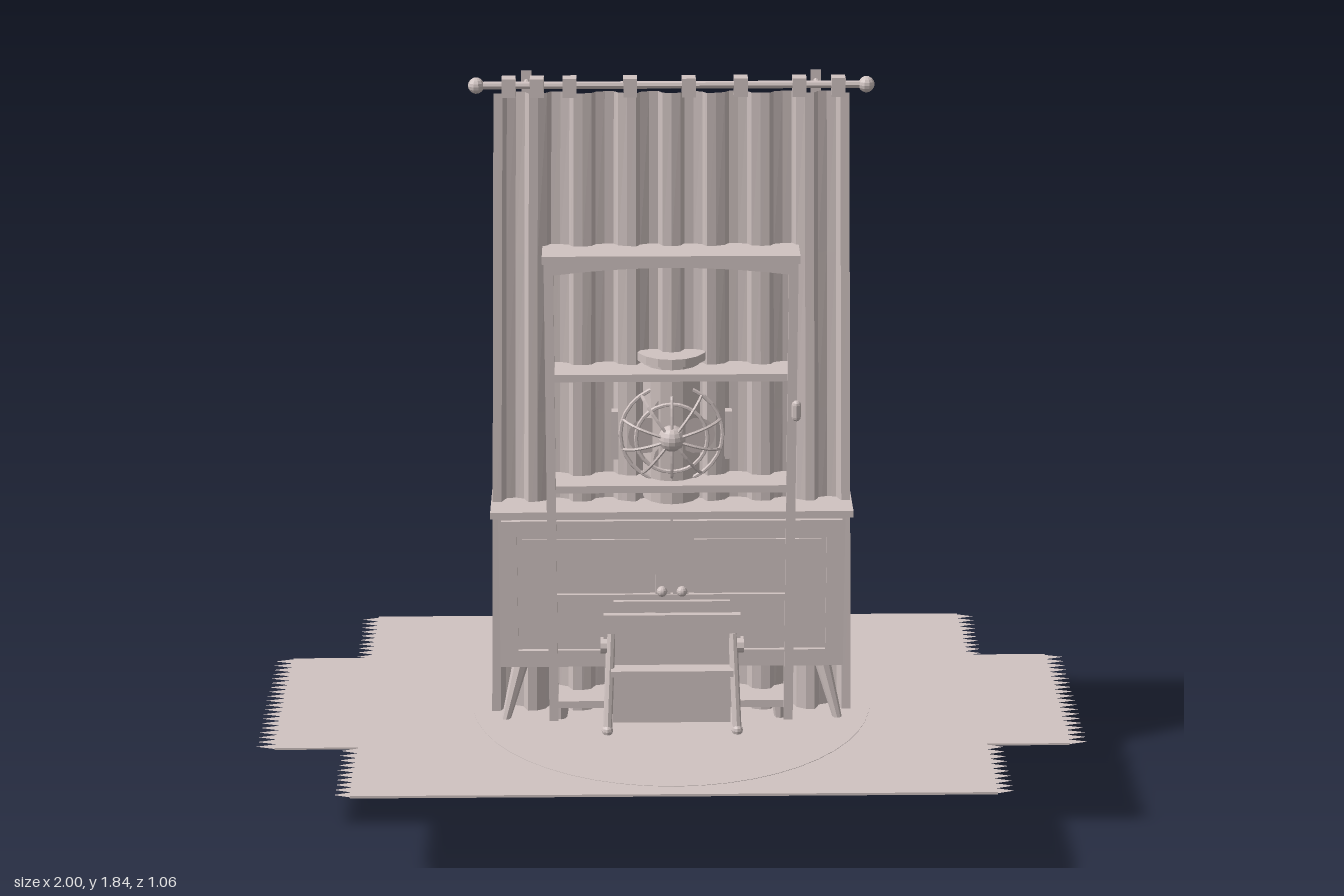
import * as THREE from 'three';

export function createModel() {
  const root = new THREE.Group();
  const clay = new THREE.MeshStandardMaterial({ color: 0xd0c3c1, flatShading: true, side: THREE.DoubleSide });
  clay.name = 'pale clay';
  const F = 0.24; // floor level

  const group = (name) => { const g = new THREE.Group(); g.name = name; root.add(g); return g; };
  const add = (g, name, geo, x = 0, y = 0, z = 0) => {
    const m = new THREE.Mesh(geo, clay);
    m.name = name;
    m.position.set(x, y, z);
    g.add(m);
    return m;
  };
  // Box given by its limits on each axis
  const box = (g, name, x0, x1, y0, y1, z0, z1) => add(g, name,
    new THREE.BoxGeometry(x1 - x0, y1 - y0, z1 - z0), (x0 + x1) / 2, (y0 + y1) / 2, (z0 + z1) / 2);
  // Tapered round bar between two points
  const bar = (g, name, a, b, r0, r1 = r0, sides = 8) => {
    const p = new THREE.Vector3(...a), q = new THREE.Vector3(...b), d = q.clone().sub(p);
    const m = add(g, name, new THREE.CylinderGeometry(r1, r0, d.length(), sides));
    m.position.copy(p).add(q).multiplyScalar(0.5);
    m.quaternion.setFromUnitVectors(new THREE.Vector3(0, 1, 0), d.normalize());
  };
  // Flat rectangular frame in the xy plane
  const frame = (g, name, x0, x1, y0, y1, w, z0, z1) => {
    box(g, name, x0, x1, y0, y0 + w, z0, z1);
    box(g, name, x0, x1, y1 - w, y1, z0, z1);
    box(g, name, x0, x0 + w, y0 + w, y1 - w, z0, z1);
    box(g, name, x1 - w, x1, y0 + w, y1 - w, z0, z1);
  };

  // Crossed rugs with pointed fringes, and a round rug on top
  const rugs = group('rugs');
  const fringe = (xe, za, zb, tip, n) => {
    for (const s of [-1, 1]) {
      const shape = new THREE.Shape();
      shape.moveTo(s * xe, za);
      const step = (zb - za) / n;
      for (let i = 0; i < n; i++) {
        shape.lineTo(s * tip, za + (i + 0.5) * step);
        shape.lineTo(s * xe, za + (i + 1) * step);
      }
      add(rugs, 'fringe', new THREE.ShapeGeometry(shape).rotateX(-Math.PI / 2), 0, F, 0);
    }
  };
  box(rugs, 'wideRug', -0.755, 0.755, F - 0.003, F + 0.003, -0.53, 0.53);
  box(rugs, 'longRug', -0.955, 0.955, F - 0.0025, F + 0.0025, -0.265, 0.265);
  add(rugs, 'roundRug', new THREE.CylinderGeometry(0.49, 0.49, 0.002, 48), 0, F + 0.003, 0);
  fringe(0.955, -0.265, 0.265, 1.0, 20);
  fringe(0.755, -0.53, -0.265, 0.795, 10);
  fringe(0.755, 0.265, 0.53, 0.795, 10);

  // Bookcase
  const bc = group('bookcase');
  box(bc, 'back', -0.297, 0.293, 0.28, 1.41, -0.135, -0.125);
  box(bc, 'leftSide', 0.277, 0.293, 0.25, 1.41, -0.13, 0.13);
  box(bc, 'rightSide', -0.297, -0.281, 0.25, 1.41, -0.13, 0.13);
  box(bc, 'top', -0.302, 0.298, 1.412, 1.432, -0.138, 0.138);
  for (const y of [0.29, 0.57, 0.85, 1.13]) box(bc, 'shelf', -0.281, 0.277, y - 0.009, y + 0.009, -0.125, 0.13);
  for (const x of [-0.287, 0.283]) box(bc, 'stile', x - 0.011, x + 0.011, 0.25, 1.412, 0.12, 0.136);
  const valance = new THREE.Shape();
  valance.moveTo(-0.277, 1.413);
  valance.lineTo(-0.277, 1.385);
  valance.quadraticCurveTo(0, 1.42, 0.273, 1.385);
  valance.lineTo(0.273, 1.413);
  add(bc, 'archedValance', new THREE.ExtrudeGeometry(valance, { depth: 0.012, bevelEnabled: false, curveSegments: 10 }), 0, 0, 0.122);
  for (const x of [-0.27, 0.265]) for (const z of [-0.11, 0.1])
    add(bc, 'foot', new THREE.CylinderGeometry(0.022, 0.014, 0.05, 8), x, F + 0.025, z);
  add(bc, 'latch', new THREE.CapsuleGeometry(0.011, 0.03, 3, 8), 0.293, 1.05, 0.138);

  // Sideboard with two panelled doors and splayed legs
  const sb = group('sideboard');
  box(sb, 'body', -0.415, 0.415, 0.385, 0.778, -0.128, 0.117);
  box(sb, 'top', -0.433, 0.433, 0.776, 0.793, -0.137, 0.132);
  for (const s of [-1, 1]) {
    const [a, b] = s < 0 ? [-0.408, -0.003] : [0.003, 0.408];
    frame(sb, 'doorFrame', a, b, 0.395, 0.768, 0.037, 0.115, 0.127);
    box(sb, 'doorPanel', a + 0.05, b - 0.05, 0.445, 0.718, 0.115, 0.121);
    add(sb, 'knob', new THREE.SphereGeometry(0.013, 10, 8), s * 0.024, 0.59, 0.137);
    for (const t of [-1, 1])
      bar(sb, 'leg', [s * 0.405, F, t * 0.105], [s * 0.365, 0.39, t * 0.075], 0.011, 0.02);
  }

  // Pleated curtain, slightly wider at the hem
  const cur = group('curtain');
  const cloth = new THREE.PlaneGeometry(0.82, 1, 64, 4);
  const p = cloth.attributes.position;
  for (let i = 0; i < p.count; i++) {
    const u = p.getX(i) / 0.41, t = 0.5 - p.getY(i);
    const fold = Math.cos(u * Math.PI * 8 + 0.6 * Math.sin(u * 7));
    p.setXYZ(i, u * (0.41 + 0.03 * t) + 0.008 * Math.sin(u * Math.PI * 16),
      1.8 - t * (1.8 - F), 0.047 + (0.01 + 0.008 * t) * fold);
  }
  cloth.computeVertexNormals();
  add(cur, 'cloth', cloth);
  bar(cur, 'rod', [-0.44, 1.815, 0.04], [0.44, 1.815, 0.04], 0.009);
  for (const s of [-1, 1]) {
    add(cur, 'finial', new THREE.SphereGeometry(0.019, 10, 8), s * 0.45, 1.815, 0.04);
    bar(cur, 'bracket', [s * 0.335, 1.815, 0.003], [s * 0.335, 1.815, 0.04], 0.006);
    box(cur, 'bracketPlate', s * 0.335 - 0.012, s * 0.335 + 0.012, 1.785, 1.84, 0, 0.004);
  }
  for (const x of [-0.375, -0.31, -0.235, -0.095, 0.04, 0.16, 0.295, 0.385])
    box(cur, 'tab', x - 0.016, x + 0.016, 1.79, 1.834, 0.022, 0.058);

  // High chair standing through the cabinets
  const ch = group('chair');
  for (const s of [-1, 1]) {
    bar(ch, 'frontLeg', [s * 0.157, F, 0.2], [s * 0.147, 0.48, 0.135], 0.011);
    bar(ch, 'backLeg', [s * 0.145, F, -0.2], [s * 0.14, 0.48, -0.08], 0.011);
    add(ch, 'foot', new THREE.SphereGeometry(0.014, 8, 6), s * 0.157, F + 0.012, 0.198);
    add(ch, 'foot', new THREE.SphereGeometry(0.014, 8, 6), s * 0.145, F + 0.012, -0.197);
    add(ch, 'hinge', new THREE.CylinderGeometry(0.02, 0.02, 0.016, 10).rotateZ(Math.PI / 2), s * 0.165, 0.45, 0.137);
  }
  box(ch, 'frontPanel', -0.165, 0.165, 0.4, 0.53, 0.126, 0.142);
  box(ch, 'lowerPanel', -0.143, 0.143, F, 0.4, 0.128, 0.136);
  box(ch, 'footrest', -0.148, 0.148, 0.385, 0.4, 0.13, 0.182);
  box(ch, 'trayRail', -0.14, 0.14, 0.55, 0.565, 0.12, 0.14);

  // Fan with a domed wire cage in front of a drum
  const fan = group('fan');
  add(fan, 'drum', new THREE.CylinderGeometry(0.07, 0.07, 0.36, 16), 0, 0.98, 0.03);
  add(fan, 'drumCap', new THREE.CylinderGeometry(0.085, 0.085, 0.02, 16), 0, 1.16, 0.03);
  const cy = 0.97, R = 0.122;
  for (const [r, z] of [[R, 0.075], [0.085, 0.104]])
    add(fan, 'cageRing', new THREE.TorusGeometry(r, 0.005, 6, 28), 0, cy, z);
  add(fan, 'hub', new THREE.SphereGeometry(0.032, 14, 10), 0, cy, 0.105);
  for (let i = 0; i < 10; i++) {
    const a = (i + 0.5) * Math.PI / 5, c = Math.cos(a), s = Math.sin(a);
    const path = new THREE.QuadraticBezierCurve3(new THREE.Vector3(0.02 * c, cy + 0.02 * s, 0.118),
      new THREE.Vector3(0.1 * c, cy + 0.1 * s, 0.118), new THREE.Vector3(R * c, cy + R * s, 0.075));
    add(fan, 'cageWire', new THREE.TubeGeometry(path, 6, 0.004, 5));
  }
  for (let i = 0; i < 4; i++) {
    const a = i * Math.PI / 2;
    add(fan, 'blade', new THREE.CircleGeometry(0.045, 14), 0.06 * Math.cos(a), cy + 0.06 * Math.sin(a), 0.085).rotation.y = 0.2;
  }
  for (const s of [-1, 1]) box(fan, 'yokeArm', s * 0.135 - 0.008, s * 0.135 + 0.008, 0.91, 1.03, 0.06, 0.085);

  // Wall pictures and clock hung about floor level
  const wall = group('wallPieces');
  frame(wall, 'wideFrame', -0.297, 0.293, 0.042, 0.438, 0.022, 0.004, 0.026);
  box(wall, 'widePicture', -0.28, 0.28, 0.055, 0.425, 0.006, 0.018);
  frame(wall, 'tallFrame', -0.165, 0.162, 0, 0.48, 0.018, 0.004, 0.028);
  box(wall, 'tallPicture', -0.15, 0.148, 0.015, 0.465, 0.007, 0.021);
  frame(wall, 'smallFrame', -0.1, 0.1, 0.135, 0.345, 0.012, 0.01, 0.027);
  add(wall, 'clockFace', new THREE.CylinderGeometry(0.11, 0.11, 0.012, 32).rotateX(Math.PI / 2), 0, F, 0.024);
  add(wall, 'clockRim', new THREE.TorusGeometry(0.111, 0.008, 6, 32), 0, F, 0.026);
  for (let i = 0; i < 12; i++) {
    const a = i * Math.PI / 6;
    add(wall, 'hourMark', new THREE.BoxGeometry(0.008, 0.008, 0.004), 0.088 * Math.cos(a), F + 0.088 * Math.sin(a), 0.031);
  }
  return root;
}
